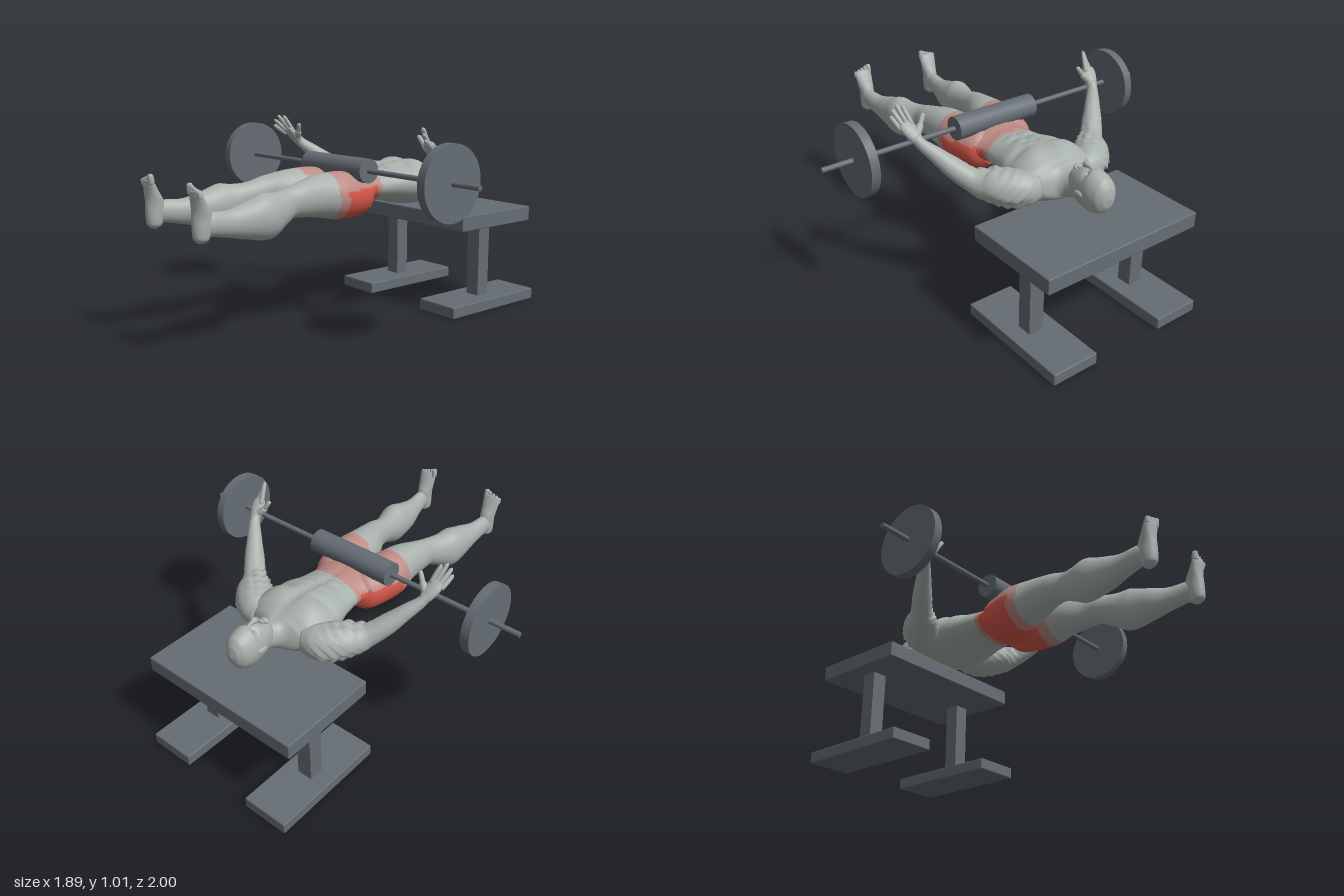
import * as THREE from 'three';
import { RoundedBoxGeometry } from 'three/addons/geometries/RoundedBoxGeometry.js';

const makeMaterial = (name, color) => {
  const m = new THREE.MeshStandardMaterial({ color });
  m.name = name;
  return m;
};
const bump = (d, w) => Math.exp(-(d * d) / (w * w));

// Smooth closed loft through rings [x, y, z, halfWidth, halfDepth].
// deform moves each vertex, pick chooses a material index for each face.
function loft(rings, { sides = 32, steps = 5, deform, pick = () => 0 } = {}) {
  const path = new THREE.CatmullRomCurve3(rings.map(r => new THREE.Vector3(r[0], r[1], r[2])));
  const size = new THREE.CatmullRomCurve3(rings.map(r => new THREE.Vector3(r[3], r[4], 0)), false, 'catmullrom', 0.4);
  const n = (rings.length - 1) * steps;
  const pos = [];
  const add = p => { if (deform) deform(p); pos.push(p.x, p.y, p.z); };
  for (let i = 0; i <= n; i++) {
    const c = path.getPoint(i / n), s = size.getPoint(i / n), t = path.getTangent(i / n);
    const u = new THREE.Vector3(1, 0, 0).addScaledVector(t, -t.x).normalize();
    const v = new THREE.Vector3().crossVectors(t, u);
    for (let j = 0; j < sides; j++) {
      const a = (j / sides) * Math.PI * 2;
      add(c.clone().addScaledVector(u, Math.cos(a) * Math.max(s.x, 0.002))
        .addScaledVector(v, Math.sin(a) * Math.max(s.y, 0.002)));
    }
  }
  add(path.getPoint(0));
  add(path.getPoint(1));
  const lists = [[], [], []];
  const face = (...ids) => {
    const m = [0, 1, 2].map(k => ids.reduce((sum, id) => sum + pos[id * 3 + k], 0) / ids.length);
    const list = lists[pick(...m)];
    for (let k = 2; k < ids.length; k++) list.push(ids[0], ids[k - 1], ids[k]);
  };
  const start = (n + 1) * sides;
  for (let j = 0; j < sides; j++) {
    const k = (j + 1) % sides;
    for (let i = 0; i < n; i++) face(i * sides + j, i * sides + k, (i + 1) * sides + k, (i + 1) * sides + j);
    face(start, k, j);
    face(start + 1, n * sides + j, n * sides + k);
  }
  const geo = new THREE.BufferGeometry();
  geo.setAttribute('position', new THREE.Float32BufferAttribute(pos, 3));
  geo.setIndex(lists.flat());
  let offset = 0;
  lists.forEach((l, i) => { if (l.length) geo.addGroup(offset, l.length, i); offset += l.length; });
  geo.computeVertexNormals();
  return geo;
}

export function createModel() {
  const model = new THREE.Group();
  model.name = 'hipThrustExercise';
  const iron = makeMaterial('darkGreyEquipment', 0x656d74);
  const skin = makeMaterial('greySkin', 0xa8b0ac);
  const red = makeMaterial('redMuscle', 0xd8584b);
  const pink = makeMaterial('paleRedMuscle', 0xbd8b85);
  const bodyMats = [skin, red, pink];

  const add = (parent, name, geo, mat, x = 0, y = 0, z = 0) => {
    const m = new THREE.Mesh(geo, mat);
    m.name = name;
    m.position.set(x, y, z);
    parent.add(m);
    return m;
  };
  const group = name => {
    const g = new THREE.Group();
    g.name = name;
    model.add(g);
    return g;
  };

  // Bench
  const bench = group('bench');
  const box = (w, h, d) => new RoundedBoxGeometry(w, h, d, 1, 0.006);
  add(bench, 'benchTop', box(0.89, 0.08, 0.525), iron, -0.003, 0.49, -0.682);
  for (const s of [-1, 1]) {
    add(bench, 'benchPost', new THREE.BoxGeometry(0.08, 0.42, 0.078), iron, s * 0.317 - 0.003, 0.25, -0.682);
    add(bench, 'benchFoot', box(0.248, 0.06, 0.63), iron, s * 0.318 - 0.003, 0.03, -0.685);
  }

  // Barbell with hip pad
  const barbell = group('barbell');
  const rod = (name, r, len, x, sides) =>
    add(barbell, name, new THREE.CylinderGeometry(r, r, len, sides), iron, x, 0.78, 0.032).rotation.z = Math.PI / 2;
  rod('bar', 0.013, 1.895, -0.002, 20);
  rod('hipPad', 0.06, 0.47, -0.002, 40);
  for (const s of [-1, 1]) rod('weightPlate', 0.177, 0.045, s * 0.77 - 0.002, 56);

  // Torso, red underneath around the hips and paler on top
  const body = group('lyingFigure');
  const hipColour = (x, y, z) => {
    if (z < -0.13 || z > 0.2) return 0;
    if (z < -0.1 || z > 0.15) return 2;
    return y < 0.69 ? 1 : 2;
  };
  const sculptTorso = p => {
    if (p.y < 0.67) {
      p.y += 0.014 * bump(p.x, 0.025) * bump(p.z + 0.3, 0.2);
      return;
    }
    const ax = Math.abs(p.x);
    p.y += 0.018 * bump(ax - 0.1, 0.07) * bump(p.z + 0.41, 0.07);
    p.y -= 0.016 * bump(p.x, 0.016) * bump(p.z + 0.3, 0.2);
    if (p.z > -0.34 && p.z < -0.08) p.y += 0.006 * Math.cos((p.z + 0.1) * 85) * bump(ax - 0.045, 0.035);
    p.y -= 0.014 * bump(ax - 0.11, 0.06) * bump(p.z + 0.33, 0.025);
  };
  add(body, 'torso', loft([
    [0, 0.68, -0.63, 0.05, 0.06], [0, 0.675, -0.59, 0.057, 0.066], [0, 0.67, -0.56, 0.08, 0.072],
    [0, 0.665, -0.53, 0.155, 0.085], [0, 0.662, -0.48, 0.215, 0.105], [0, 0.668, -0.4, 0.215, 0.118],
    [0, 0.675, -0.3, 0.192, 0.112], [0, 0.675, -0.2, 0.165, 0.09], [0, 0.673, -0.1, 0.155, 0.082],
    [0, 0.663, -0.02, 0.178, 0.098], [0, 0.655, 0.06, 0.185, 0.1], [0, 0.65, 0.12, 0.13, 0.08],
    [0, 0.65, 0.16, 0.03, 0.03],
  ], { sides: 56, steps: 7, deform: sculptTorso, pick: hipColour }), bodyMats);

  // Head, with eye sockets and cheeks pressed into the upward face
  const sculptHead = p => {
    if (p.y < 0.72) return;
    const ax = Math.abs(p.x);
    p.y -= 0.014 * bump(ax - 0.031, 0.017) * bump(p.z + 0.7, 0.014);
    p.y += 0.005 * bump(ax - 0.03, 0.03) * bump(p.z + 0.723, 0.01);
    p.y -= 0.006 * bump(p.x, 0.03) * bump(p.z + 0.617, 0.007);
  };
  add(body, 'head', loft([
    [0, 0.745, -0.584, 0.018, 0.025], [0, 0.733, -0.6, 0.042, 0.053], [0, 0.715, -0.635, 0.06, 0.086],
    [0, 0.702, -0.685, 0.069, 0.1], [0, 0.7, -0.74, 0.074, 0.103], [0, 0.7, -0.79, 0.062, 0.085],
    [0, 0.7, -0.815, 0.037, 0.052], [0, 0.7, -0.826, 0.004, 0.004],
  ], { sides: 48, steps: 7, deform: sculptHead }), skin);
  const blob = (name, x, y, z, sx, sy, sz) =>
    add(body, name, new THREE.SphereGeometry(1, 18, 12), skin, x, y, z).scale.set(sx, sy, sz);
  add(body, 'nose', loft([
    [0, 0.793, -0.712, 0.006, 0.008], [0, 0.802, -0.685, 0.009, 0.012],
    [0, 0.806, -0.662, 0.015, 0.017], [0, 0.796, -0.65, 0.011, 0.01],
  ], { sides: 16 }), skin);
  blob('upperLip', 0, 0.784, -0.634, 0.021, 0.01, 0.006);
  blob('lowerLip', 0, 0.78, -0.624, 0.018, 0.01, 0.006);
  blob('chin', 0, 0.767, -0.604, 0.022, 0.018, 0.014);

  // A tapering finger or toe
  const digit = (name, a, b, r) => {
    const at = (t, k) => [0, 1, 2].map(i => a[i] + (b[i] - a[i]) * t).concat(r * k, r * k);
    add(body, name, loft([at(0, 1), at(0.45, 1.02), at(0.88, 0.85), at(1, 0.15)], { sides: 12, steps: 4 }), skin);
  };

  for (const s of [-1, 1]) {
    const side = rings => rings.map(([x, ...rest]) => [s * x, ...rest]);

    blob('eye', s * 0.031, 0.772, -0.699, 0.013, 0.012, 0.008);
    blob('ear', s * 0.073, 0.694, -0.695, 0.009, 0.016, 0.029);

    // Arm, with ragged muscle ridges above the elbow
    const ridges = p => {
      const k = bump(Math.abs(p.x) - 0.29, 0.07) * 0.009;
      const w = Math.sin(p.z * 95 + p.y * 40) * Math.sin(p.x * s * 80 + p.y * 90);
      p.y += k * w;
      p.z += k * w;
    };
    add(body, 'arm', loft(side([
      [0.13, 0.665, -0.5, 0.05, 0.06], [0.18, 0.662, -0.475, 0.08, 0.082], [0.235, 0.662, -0.435, 0.093, 0.09],
      [0.285, 0.668, -0.385, 0.09, 0.086], [0.33, 0.672, -0.335, 0.074, 0.072], [0.37, 0.692, -0.297, 0.055, 0.057],
      [0.42, 0.738, -0.245, 0.05, 0.049], [0.48, 0.803, -0.178, 0.037, 0.037], [0.525, 0.852, -0.125, 0.026, 0.028],
      [0.535, 0.875, -0.105, 0.026, 0.026],
    ]), { sides: 44, steps: 8, deform: ridges }), skin);

    // Hand
    add(body, 'palm', loft(side([
      [0.527, 0.852, -0.125, 0.022, 0.024], [0.538, 0.883, -0.097, 0.034, 0.024],
      [0.549, 0.912, -0.07, 0.038, 0.021], [0.556, 0.935, -0.05, 0.032, 0.014],
    ]), { sides: 20 }), skin);
    [
      [[0.529, 0.925, -0.068], [0.548, 1.008, -0.018]],
      [[0.547, 0.928, -0.057], [0.566, 1.01, 0.006]],
      [[0.564, 0.921, -0.052], [0.583, 0.985, 0.018]],
      [[0.578, 0.905, -0.055], [0.594, 0.955, 0.015]],
    ].forEach(([a, b]) => digit('finger', side([a])[0], side([b])[0], 0.0115));
    const base = [s * 0.528, 0.88, -0.1], joint = [s * 0.488, 0.925, -0.078];
    digit('thumbBase', base, joint, 0.018);
    digit('thumb', [s * 0.498, 0.912, -0.083], [s * 0.466, 0.966, -0.066], 0.012);

    // Leg
    add(body, 'leg', loft(side([
      [0.09, 0.65, -0.08, 0.04, 0.06], [0.1, 0.648, -0.02, 0.092, 0.1], [0.108, 0.652, 0.06, 0.108, 0.114],
      [0.117, 0.66, 0.15, 0.117, 0.118], [0.123, 0.668, 0.26, 0.097, 0.105], [0.147, 0.666, 0.38, 0.067, 0.085],
      [0.153, 0.656, 0.46, 0.057, 0.073], [0.17, 0.637, 0.53, 0.066, 0.086], [0.187, 0.62, 0.61, 0.078, 0.108],
      [0.191, 0.612, 0.72, 0.066, 0.084], [0.203, 0.613, 0.82, 0.045, 0.06], [0.212, 0.622, 0.9, 0.036, 0.054],
      [0.214, 0.622, 0.95, 0.032, 0.048],
    ]), { sides: 48, steps: 7, pick: hipColour }), bodyMats);
    blob('kneecap', s * 0.153, 0.705, 0.445, 0.032, 0.028, 0.04);

    // Upright foot with the sole facing forwards
    add(body, 'foot', loft(side([
      [0.213, 0.546, 0.957, 0.012, 0.015], [0.213, 0.565, 0.955, 0.032, 0.036], [0.213, 0.61, 0.95, 0.037, 0.045],
      [0.213, 0.66, 0.949, 0.038, 0.046], [0.214, 0.71, 0.961, 0.044, 0.032], [0.215, 0.75, 0.972, 0.048, 0.022],
      [0.215, 0.778, 0.979, 0.045, 0.013],
    ]), { sides: 28 }), skin);
    for (let i = 0; i < 5; i++) {
      const x = s * (0.178 + i * 0.0195);
      digit('toe', [x, 0.758 - i * 0.003, 0.977], [x, 0.806 - i * 0.007, 0.984], i ? 0.0105 : 0.0145);
    }
  }
  return model;
}
